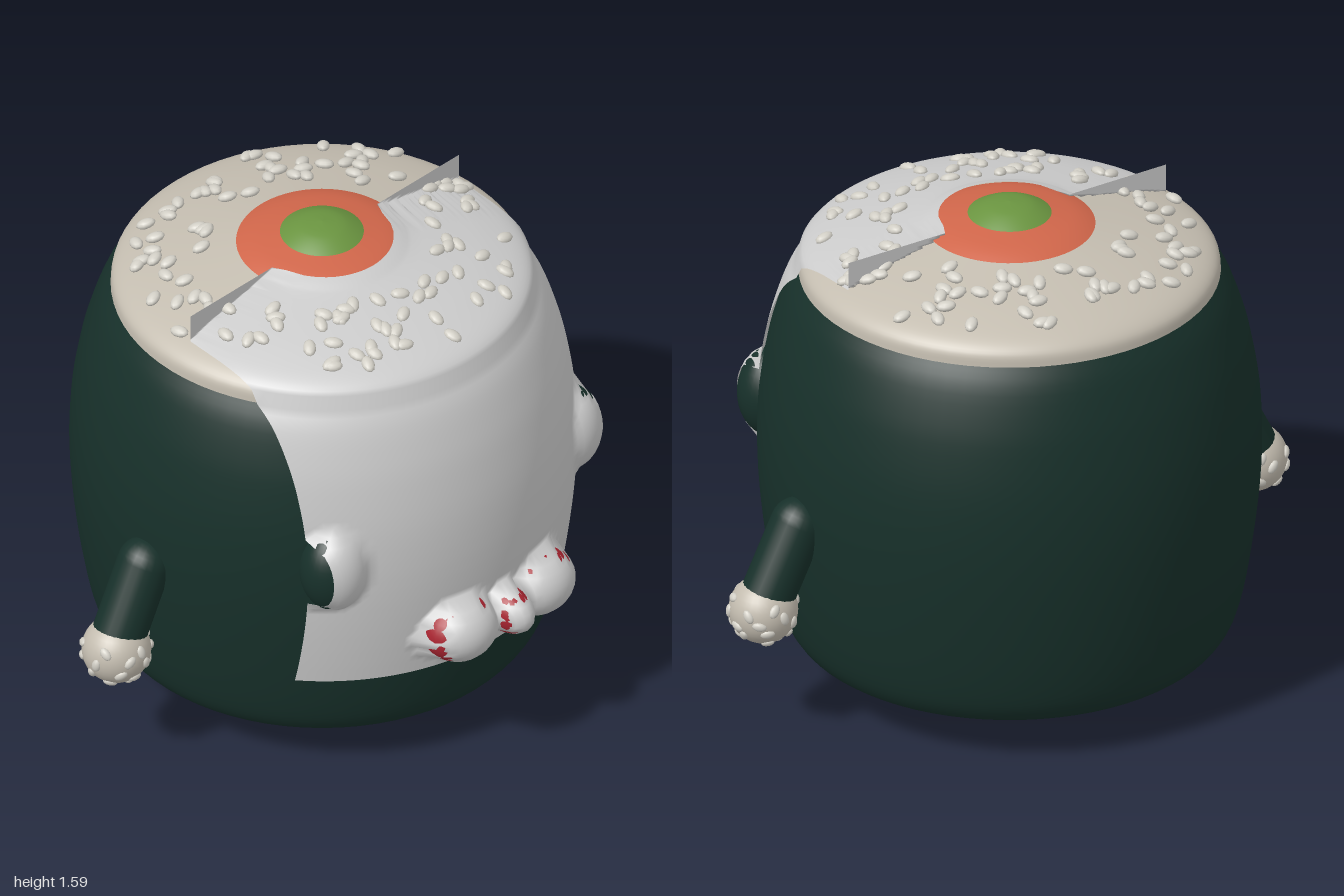
import * as THREE from 'three';

const CZ = -0.07; // body axis
const mat = (color) => new THREE.MeshStandardMaterial({ color, roughness: 0.8 });
const NORI = mat(0x17302a), RICE = mat(0xc4bdb0), SALMON = mat(0xd0664a), AVOCADO = mat(0x6a9440);
const FOOT = mat(0x382822), RED = mat(0xa82430), SEED = mat(0xd2cfc6);
const SHEET = new THREE.MeshStandardMaterial({ color: 0xcccccc, side: THREE.DoubleSide });

// Profiles as [radius, y]
const noriPts = [[0.55, 0.135], [0.63, 0.145], [0.67, 0.18], [0.7, 0.25], [0.73, 0.4], [0.755, 0.6], [0.765, 0.78],
  [0.758, 0.95], [0.735, 1.1], [0.71, 1.2], [0.675, 1.3], [0.64, 1.36]];
const ricePts = [[0.64, 1.36], [0.632, 1.4], [0.59, 1.432], [0.5, 1.463], [0.4, 1.487], [0.26, 1.515]];
const salmonPts = [[0.26, 1.515], [0.23, 1.528], [0.19, 1.54], [0.12, 1.553]];
const avocadoPts = [[0.13, 1.55], [0.1, 1.567], [0.06, 1.583], [0, 1.59]];
const smooth = (pts, n) => new THREE.SplineCurve(pts.map((p) => new THREE.Vector2(...p))).getPoints(n);
const nori = smooth(noriPts, 36), rice = smooth(ricePts, 24), salmon = smooth(salmonPts, 10), avocado = smooth(avocadoPts, 8);
const outline = [...nori, ...rice.slice(1), ...salmon.slice(1)];

// Body radius at a height, and height at a radius on the top
function radiusAt(y) {
  for (let i = 1; i < outline.length; i++) {
    const a = outline[i - 1], b = outline[i];
    if (y <= b.y) return a.x + (b.x - a.x) * THREE.MathUtils.clamp((y - a.y) / (b.y - a.y || 1), 0, 1);
  }
  return 0.1;
}
function topHeight(r) {
  for (let i = 1; i < rice.length; i++) {
    const a = rice[i - 1], b = rice[i];
    if (r >= b.x) return a.y + ((b.y - a.y) * (a.x - r)) / (a.x - b.x || 1);
  }
  return 1.515;
}

// Ellipsoids beneath the face sheet: centre and radii
const ears = [1, -1].map((s) => ({ c: [s * 0.5, 0.84, 0.48], r: [0.108, 0.145, 0.1] }));
const bow = [
  { c: [0.165, 0.545, 0.68], r: [0.125, 0.105, 0.11] },
  { c: [-0.165, 0.545, 0.68], r: [0.125, 0.105, 0.11] },
  { c: [0, 0.545, 0.72], r: [0.065, 0.075, 0.1] },
];

let state = 7;
const rand = () => (state = (state * 16807) % 2147483647) / 2147483647;

function add(parent, name, geometry, material) {
  const m = new THREE.Mesh(geometry, material);
  m.name = name;
  parent.add(m);
  return m;
}
function ellipsoid(parent, name, c, r, material) {
  const m = add(parent, name, new THREE.SphereGeometry(1, 32, 20), material);
  m.position.set(...c);
  m.scale.set(...r);
  return m;
}
function seed(parent, pos, normal) {
  const m = add(parent, 'seed', seedGeo, SEED);
  m.position.copy(pos);
  m.quaternion.setFromUnitVectors(new THREE.Vector3(0, 1, 0), normal);
  m.rotateY(rand() * Math.PI * 2);
  return m;
}
const seedGeo = new THREE.SphereGeometry(1, 10, 7).scale(0.031, 0.015, 0.02);

// Sheet draped from the front over body, ears and bow
function faceSheet() {
  const rows = [];
  for (let i = 0; i <= 45; i++) rows.push(0.4 + (i / 45) * 0.96);
  for (let i = 1; i <= 30; i++) rows.push(topHeight(0.64 - (i / 30) * 0.37));
  for (let i = 1; i <= 5; i++) rows.push(1.514 + i * 0.0052);
  const cols = 56, pos = [], idx = [];
  rows.forEach((y, j) => {
    for (let i = 0; i <= cols; i++) {
      const x = -0.575 + (1.15 * i) / cols;
      const r = radiusAt(y - 0.005);
      let z = CZ + Math.sqrt(Math.max(0, r * r - x * x));
      for (const { c, r: e } of [...ears, ...bow]) {
        const k = 1 - ((x - c[0]) / e[0]) ** 2 - ((y - c[1]) / e[1]) ** 2;
        if (k > 0) z = Math.max(z, c[2] + e[2] * Math.sqrt(k) - 0.006);
      }
      pos.push(x, y, z + 0.012);
      if (i < cols && j < rows.length - 1) {
        const a = j * (cols + 1) + i, b = a + cols + 1;
        idx.push(a, a + 1, b + 1, a, b + 1, b);
      }
    }
  });
  const g = new THREE.BufferGeometry();
  g.setAttribute('position', new THREE.Float32BufferAttribute(pos, 3));
  g.setIndex(idx);
  g.computeVertexNormals();
  return g;
}

export function createModel() {
  const model = new THREE.Group();
  model.name = 'sushiRoll';

  // Roll body in layers
  const body = new THREE.Group();
  body.name = 'body';
  body.position.z = CZ;
  model.add(body);
  const layers = [
    ['seaweedWrap', [new THREE.Vector2(0, 0.13), ...nori], NORI],
    ['riceTop', rice, RICE],
    ['salmonRing', salmon, SALMON],
    ['avocadoCentre', avocado, AVOCADO],
  ];
  for (const [name, pts, m] of layers) add(body, name, new THREE.LatheGeometry(pts, 72), m);

  // Sesame scattered over the rice
  const seeds = new THREE.Group();
  seeds.name = 'topSeeds';
  body.add(seeds);
  for (let i = 0; i < 115; i++) {
    const a = rand() * Math.PI * 2, r = 0.33 + rand() * 0.25;
    const n = new THREE.Vector3(Math.sin(a) * 0.3, 1, Math.cos(a) * 0.3).normalize();
    seed(seeds, new THREE.Vector3(Math.sin(a) * r, topHeight(r) + 0.01, Math.cos(a) * r), n);
  }

  // Face
  add(model, 'faceSheet', faceSheet(), SHEET);
  ears.forEach((e) => ellipsoid(model, 'ear', e.c, e.r, NORI));
  bow.forEach((e) => ellipsoid(model, 'bowLobe', e.c, e.r, RED));

  for (const s of [1, -1]) {
    const side = s > 0 ? 'left' : 'right';
    // Arm with a seeded rice hand
    const from = new THREE.Vector3(s * 0.765, 0.705, -0.065), to = new THREE.Vector3(s * 0.875, 0.49, -0.065);
    const dir = to.clone().sub(from);
    const arm = add(model, side + 'Arm', new THREE.CapsuleGeometry(0.084, dir.length(), 8, 24), NORI);
    arm.position.copy(from).add(to).multiplyScalar(0.5);
    arm.quaternion.setFromUnitVectors(new THREE.Vector3(0, 1, 0), dir.normalize());
    const hand = new THREE.Group();
    hand.name = side + 'Hand';
    hand.position.set(s * 0.887, 0.447, -0.062);
    model.add(hand);
    add(hand, 'riceBall', new THREE.SphereGeometry(0.106, 32, 20), RICE);
    for (let i = 0; i < 26; i++) {
      const y = 0.5 - (1.45 * (i + 0.5)) / 26, a = i * 2.4 + rand() * 0.6, q = Math.sqrt(1 - y * y);
      const n = new THREE.Vector3(q * Math.cos(a), y, q * Math.sin(a));
      seed(hand, n.clone().multiplyScalar(0.104), n).scale.setScalar(0.75);
    }
    ellipsoid(model, side + 'Foot', [s * 0.305, 0.098, 0.003], [0.126, 0.098, 0.157], FOOT);
  }
  return model;
}
